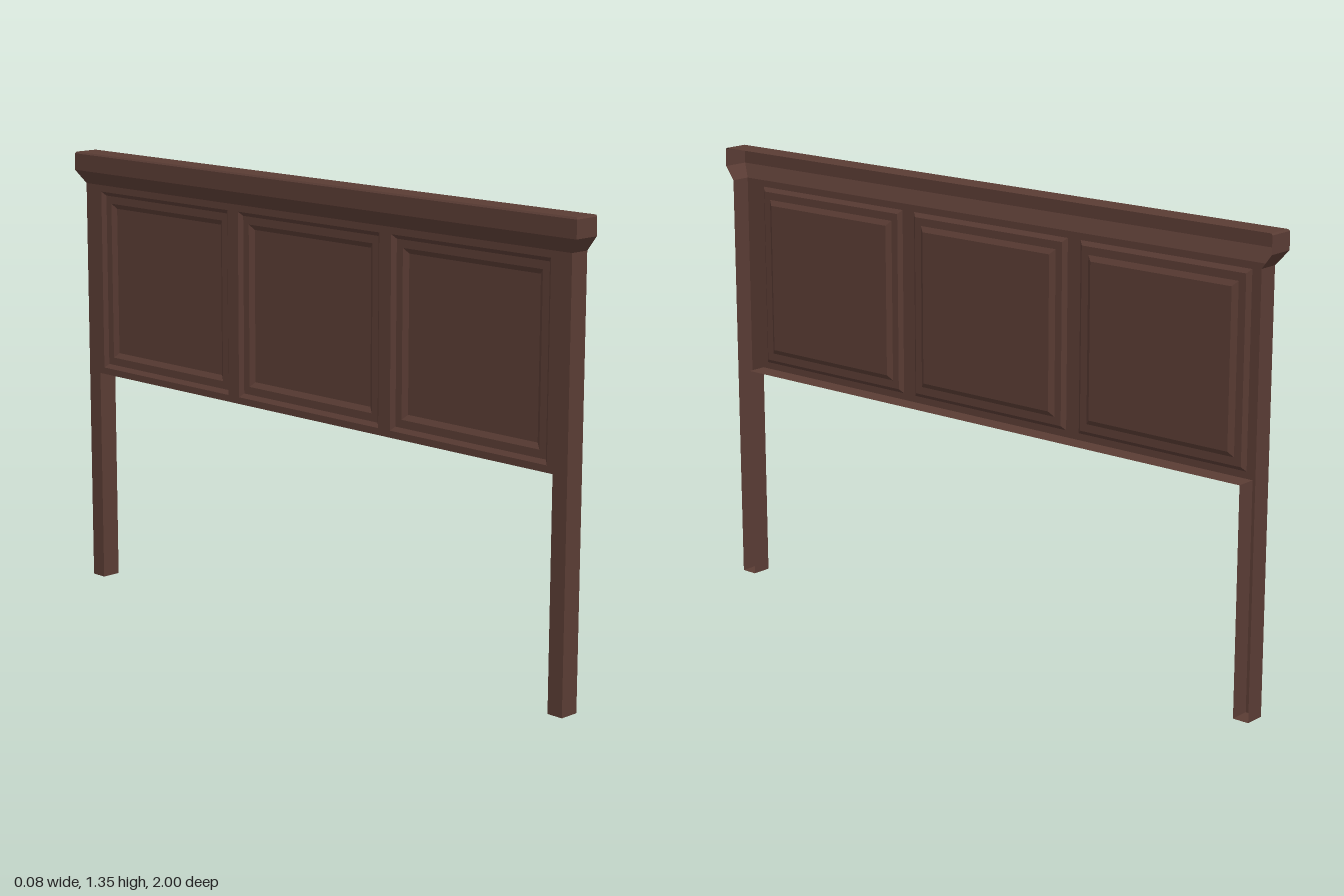
import * as THREE from 'three';

const FRONT = -0.02, BACK = 0.04; // board faces across x

// Flat-shaded skin between successive rings of [x, y, z] points
function loft(rings, closed) {
  const pos = [];
  for (let i = 0; i < rings.length - 1; i++) {
    const r = rings[i], s = rings[i + 1], n = r.length;
    for (let j = 0; j < (closed ? n : n - 1); j++) {
      const k = (j + 1) % n;
      pos.push(...r[j], ...r[k], ...s[k], ...r[j], ...s[k], ...s[j]);
    }
  }
  const g = new THREE.BufferGeometry();
  g.setAttribute('position', new THREE.Float32BufferAttribute(pos, 3));
  g.computeVertexNormals();
  return g;
}

export function createModel() {
  const group = new THREE.Group();
  const wood = new THREE.MeshStandardMaterial({ color: 0x5a3c34, side: THREE.DoubleSide });
  wood.name = 'dark wood';
  const add = (name, geometry) => {
    const m = new THREE.Mesh(geometry, wood);
    m.name = name;
    group.add(m);
  };

  // Outline of posts and lower rail, as [z, y]
  const outline = [[-0.97, 1.25], [-0.97, 0], [-0.92, 0], [-0.92, 0.66],
    [0.92, 0.66], [0.92, 0], [0.97, 0], [0.97, 1.25]];
  const panels = [-0.615, 0, 0.615];
  const halfW = 0.285, y0 = 0.68, y1 = 1.23;
  const rect = (c, inset) => [
    [c - halfW + inset, y0 + inset], [c + halfW - inset, y0 + inset],
    [c + halfW - inset, y1 - inset], [c - halfW + inset, y1 - inset]];

  // Frame face with three panel openings
  const toPoints = a => a.map(p => new THREE.Vector2(p[0], p[1]));
  const shape = new THREE.Shape(toPoints(outline));
  for (const c of panels) shape.holes.push(new THREE.Path(toPoints(rect(c, 0))));
  add('frameFace', new THREE.ShapeGeometry(shape).rotateY(-Math.PI / 2).translate(FRONT, 0, 0));

  // Side walls of the posts and rail; the back is left open
  add('frameSides', loft([BACK, FRONT].map(x => outline.map(([z, y]) => [x, y, z])), false));

  // Recessed panels with a stepped moulding: [inset, x]
  const moulding = [[0, FRONT], [0.012, -0.01], [0.035, -0.01], [0.05, 0]];
  for (const c of panels) {
    const rings = moulding.map(([inset, x]) => rect(c, inset).map(([z, y]) => [x, y, z]));
    rings.push(Array.from({ length: 4 }, () => [0, (y0 + y1) / 2, c]));
    add('panel', loft(rings, true));
  }

  // Flared cap with eased top edge: [y, front x, half length]
  const levels = [[1.25, FRONT, 0.97], [1.29, -0.04, 1], [1.341, -0.04, 1],
    [1.346, -0.036, 0.996], [1.346, BACK, 0.996]];
  add('topCap', loft(levels.map(([y, x, h]) =>
    [[BACK, y, -h], [x, y, -h], [x, y, h], [BACK, y, h]]), false));

  return group;
}
